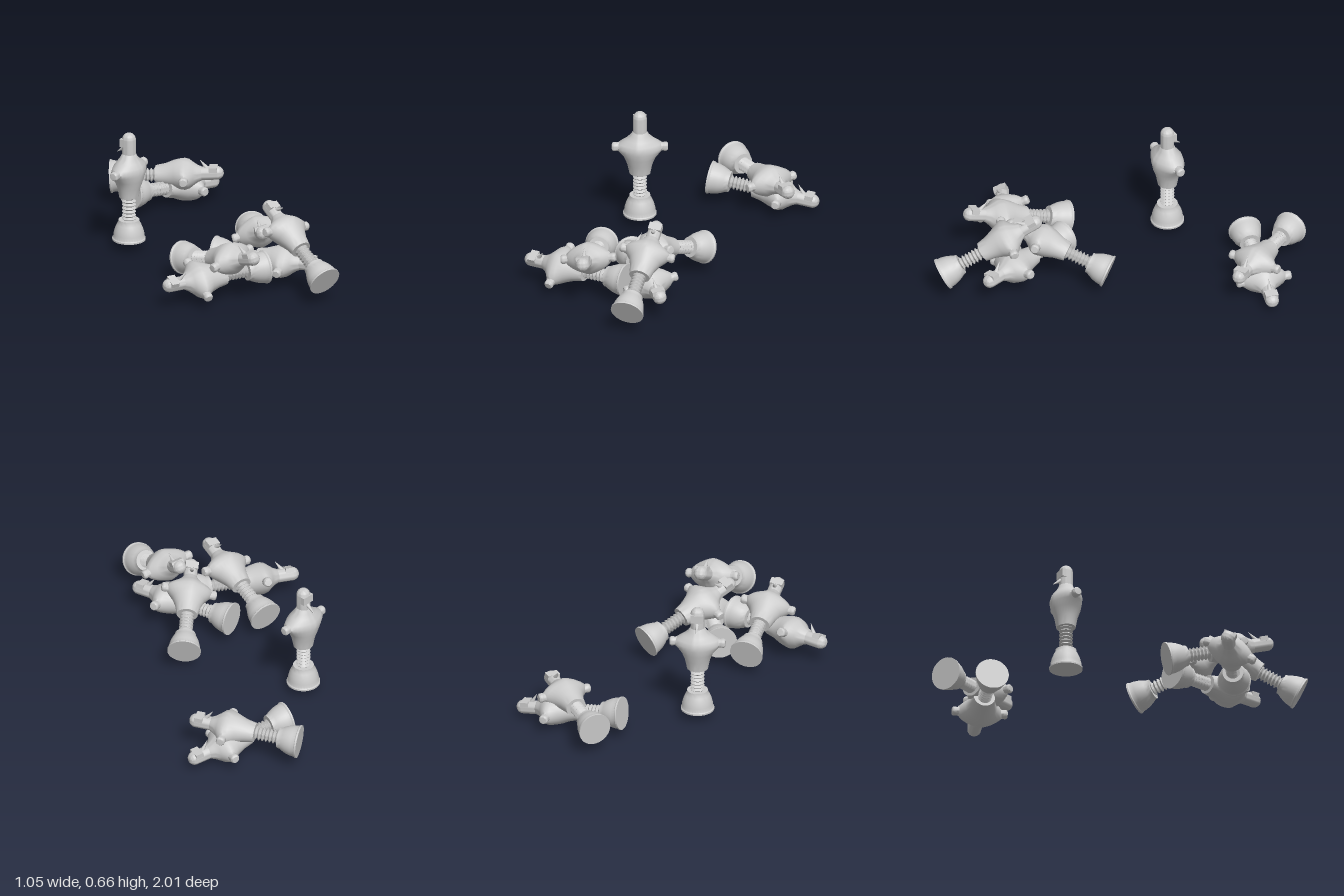
import * as THREE from 'three';
import { mergeVertices, toCreasedNormals } from 'three/addons/utils/BufferGeometryUtils.js';

const mat = new THREE.MeshStandardMaterial({ color: 0xcccccc });
const V = (x, y, z) => new THREE.Vector3(x, y, z);

function lathe(points, segments = 28) {
  const g = new THREE.LatheGeometry(points.map(([r, y]) => new THREE.Vector2(r, y)), segments);
  return toCreasedNormals(g, 0.7);
}

// Torso: rows of [height, half width, half depth], pinched towards the shoulders
function torsoGeometry() {
  const rows = [
    [0.245, 0.001, 0.001], [0.245, 0.057, 0.052], [0.262, 0.06, 0.055], [0.3, 0.068, 0.062],
    [0.345, 0.086, 0.078], [0.38, 0.116, 0.086], [0.402, 0.13, 0.088], [0.425, 0.115, 0.081],
    [0.448, 0.077, 0.063], [0.47, 0.052, 0.047], [0.49, 0.04, 0.038], [0.5, 0.03, 0.03],
  ];
  const n = 32;
  const g = new THREE.CylinderGeometry(1, 1, 1, n, rows.length - 1, true);
  const p = g.attributes.position;
  for (let i = 0; i < p.count; i++) {
    const row = rows[rows.length - 1 - Math.floor(i / (n + 1))];
    const a = ((i % (n + 1)) / n) * Math.PI * 2;
    const [h, rx, rz] = row;
    const c = Math.cos(a), s = Math.sin(a);
    const pinch = 1 + Math.max(0, rx / rz - 1) * 1.3;
    p.setXYZ(i, rx * Math.sign(s) * Math.abs(s) ** pinch, h, rz * c);
  }
  g.deleteAttribute('uv');
  g.deleteAttribute('normal');
  return toCreasedNormals(mergeVertices(g), 0.9);
}

// Bell-shaped foot
const footGeo = lathe([[0, 0], [0.09, 0], [0.09, 0.009], [0.085, 0.014], [0.083, 0.035],
  [0.076, 0.062], [0.065, 0.088], [0.058, 0.1], [0.056, 0.114], [0, 0.114]], 36);

// Ribbed flexible leg
const ribs = [];
for (let i = 0; i <= 56; i++) {
  const t = i / 56;
  ribs.push([0.032 - 0.006 * Math.cos(t * Math.PI * 14), 0.11 + t * 0.14]);
}
const legGeo = lathe(ribs, 24);

// Rounded head
const headPts = [[0.037, 0.46]];
for (let i = 0; i <= 8; i++) {
  const a = (i / 8) * Math.PI / 2;
  headPts.push([0.037 * Math.cos(a), 0.573 + 0.037 * Math.sin(a)]);
}
const headGeo = lathe(headPts);

// Shoulder stub with a small rim
const stubGeo = lathe([[0.03, 0.09], [0.023, 0.125], [0.025, 0.13], [0.025, 0.142],
  [0.019, 0.15], [0, 0.152]], 18);
const torsoGeo = torsoGeometry();
const visorGeo = new THREE.BoxGeometry(0.07, 0.044, 0.026);
const beakGeo = new THREE.ConeGeometry(0.014, 0.068, 12);

function buildRobot(name, base, tip, arm) {
  const robot = new THREE.Group();
  robot.name = name;
  const add = (part, geo) => {
    const m = new THREE.Mesh(geo, mat);
    m.name = part;
    robot.add(m);
    return m;
  };
  add('foot', footGeo);
  add('ribbedLeg', legGeo);
  add('torso', torsoGeo);
  add('head', headGeo);
  add('visor', visorGeo).position.set(0, 0.555, 0.025);
  for (const side of [-1, 1]) {
    const stub = add(side > 0 ? 'leftShoulder' : 'rightShoulder', stubGeo);
    stub.rotation.z = -side * Math.PI / 2;
    stub.position.y = 0.402;
  }
  // Beak slants outwards and down from the head
  const from = V(0, 0.522, 0.026), to = V(0, 0.485, 0.08);
  const beak = add('beak', beakGeo);
  beak.position.copy(from).add(to).multiplyScalar(0.5);
  beak.quaternion.setFromUnitVectors(V(0, 1, 0), to.clone().sub(from).normalize());

  // Aim the robot from foot to head, face upwards when lying down
  const up = V(...tip).sub(V(...base)).normalize();
  const x = V(...arm);
  x.addScaledVector(up, -x.dot(up)).normalize();
  const front = x.clone().cross(up);
  if (front.y < -0.01) { x.negate(); front.negate(); }
  robot.quaternion.setFromRotationMatrix(new THREE.Matrix4().makeBasis(x, up, front));
  robot.position.set(...base);
  return robot;
}

export function createModel() {
  const group = new THREE.Group();
  group.name = 'scatteredRobots';
  // name, foot centre, head tip, shoulder direction
  const robots = [
    ['standingRobot', [-0.284, 0.056, -0.276], [-0.284, 0.666, -0.276], [-0.88, 0, 0.47]],
    ['leftLyingRobot', [0.085, 0.14, 0.61], [-0.525, 0.13, 0.6], [0, -0.06, 0.13]],
    ['crossedRobot', [-0.237, 0.13, 0.26], [-0.07, 0.29, 0.835], [0.28, 0.04, -0.08]],
    ['backLeaningRobot', [0.28, 0.14, 0.065], [0.075, 0.33, 0.6], [0.13, 0.035, 0.05]],
    ['bottomRobot', [-0.055, 0.135, 0.285], [0.355, 0.14, 0.725], [0.21, 0.05, -0.2]],
    ['topRobot', [0.267, 0.143, 0.955], [0.182, 0.43, 0.42], [0.284, -0.047, -0.04]],
    ['rearUpperRobot', [-0.062, 0.15, -0.93], [0.455, 0.19, -0.61], [-0.075, 0, 0.12]],
    ['rearLowerRobot', [-0.07, 0.14, -0.68], [0.525, 0.065, -0.81], [0.03, 0, 0.14]],
  ];
  for (const r of robots) group.add(buildRobot(...r));
  return group;
}
